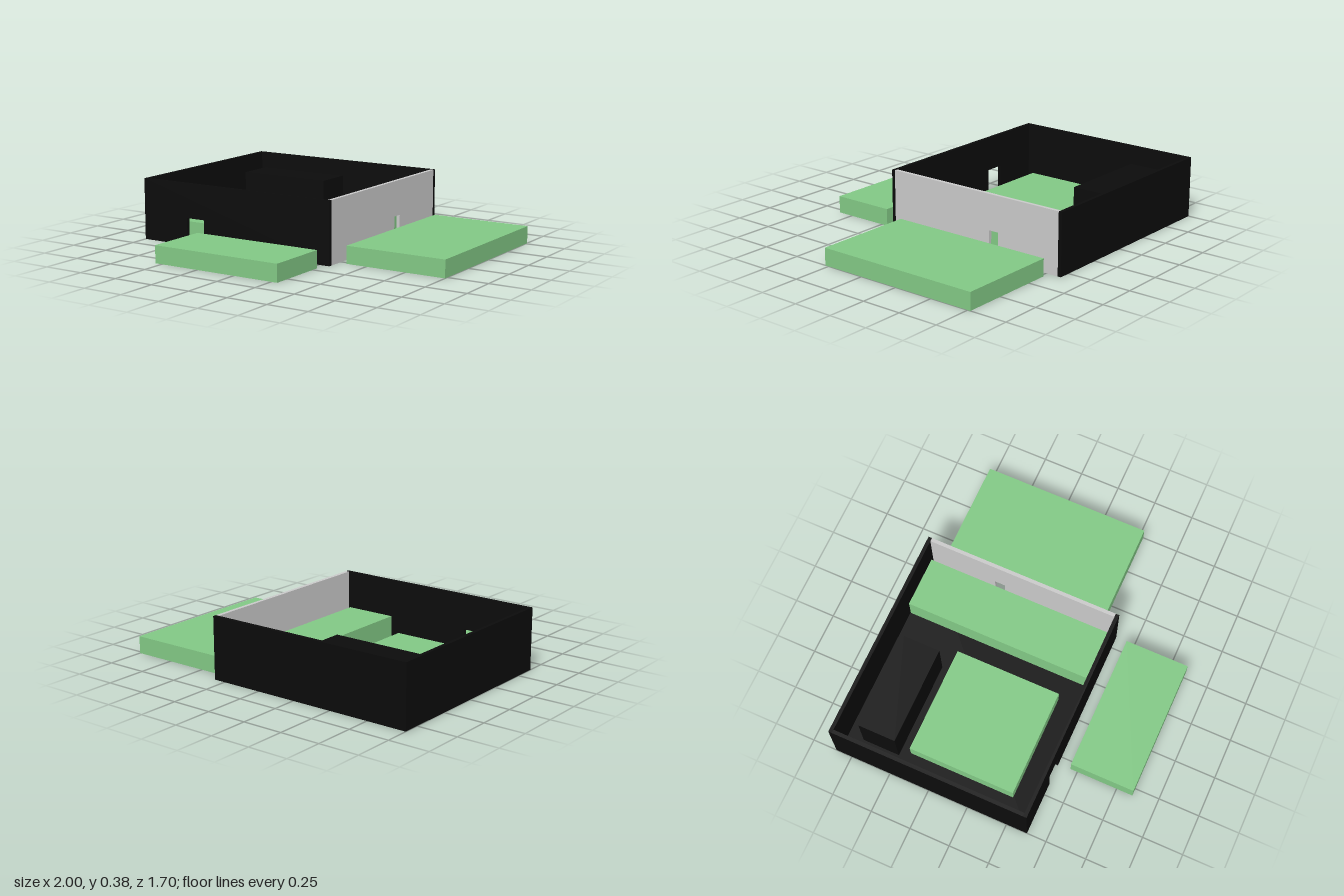
import * as THREE from 'three';

export function createModel() {
  const model = new THREE.Group();
  model.name = 'roomLayout';
  const mat = (name, color) => {
    const m = new THREE.MeshStandardMaterial({ color });
    m.name = name;
    return m;
  };
  const black = mat('black', 0x0b0b0b);
  const green = mat('green', 0x81c784);
  const grey = mat('grey', 0xc8c8c8);

  // Box given by its limits on each axis
  function box(name, material, [x0, x1], [y0, y1], [z0, z1]) {
    const mesh = new THREE.Mesh(new THREE.BoxGeometry(x1 - x0, y1 - y0, z1 - z0), material);
    mesh.position.set((x0 + x1) / 2, (y0 + y1) / 2, (z0 + z1) / 2);
    mesh.name = name;
    model.add(mesh);
    return mesh;
  }

  // Wall outline from u0 to u1 with a doorway cut up from the ground
  const H = 0.375;
  function doorWall(name, material, u0, u1, d0, d1, doorHeight, depth) {
    const shape = new THREE.Shape([
      [u0, 0], [d0, 0], [d0, doorHeight], [d1, doorHeight], [d1, 0], [u1, 0], [u1, H], [u0, H],
    ].map(([u, v]) => new THREE.Vector2(u, v)));
    const mesh = new THREE.Mesh(new THREE.ExtrudeGeometry(shape, { depth, bevelEnabled: false }), material);
    mesh.name = name;
    model.add(mesh);
    return mesh;
  }

  // Room shell
  box('floor', black, [-0.98, 0.30], [0, 0.004], [-0.83, 0.36]);
  box('backWall', black, [-1, 0.322], [0, H], [-0.85, -0.828]);
  box('rightWall', black, [-1, -0.978], [0, H], [-0.828, 0.358]);
  doorWall('frontWall', black, -1, 0.322, -0.68, -0.555, 0.165, 0.022).position.z = 0.358;

  // Grey side wall: the outline runs along -z after the turn
  const sideWall = doorWall('leftWall', grey, -0.358, 0.828, 0.347, 0.412, 0.16, 0.022);
  sideWall.rotation.y = Math.PI / 2;
  sideWall.position.x = 0.30;

  // Blocks inside the room
  box('tallBlock', black, [-0.88, -0.28], [0.002, 0.295], [-0.73, -0.50]);
  box('centreBlock', green, [-0.84, -0.18], [0.002, 0.105], [-0.44, 0.22]);
  box('longBlock', green, [-0.04, 0.275], [0.002, 0.155], [-0.825, 0.34]);

  // Blocks outside the room
  box('frontBlock', green, [-0.545, 0.29], [0, 0.105], [0.457, 0.85]);
  box('sideBlock', green, [0.37, 1], [0, 0.105], [-0.768, 0.275]);

  return model;
}
